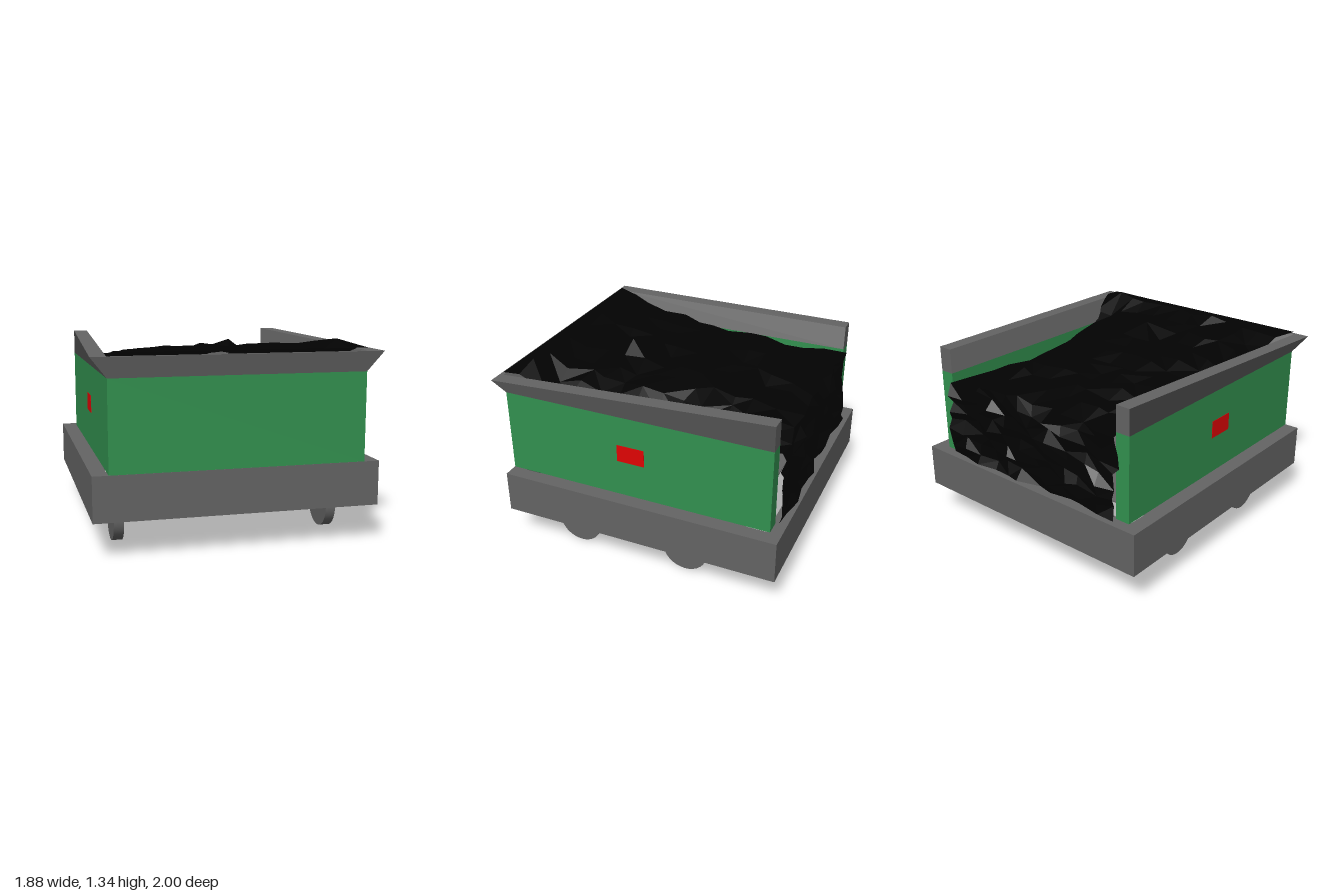
import * as THREE from 'three';

const material = (name, color, extra = {}) => {
  const m = new THREE.MeshStandardMaterial({ color, ...extra });
  m.name = name;
  return m;
};

// Small seeded generator, returns -1..1
function seeded(seed) {
  let s = seed;
  return () => {
    s = (s * 16807) % 2147483647;
    return (s / 2147483647) * 2 - 1;
  };
}

// Piecewise linear lookup through [key, value] pairs with falling keys
function lookup(pairs, key) {
  for (let i = 1; i < pairs.length; i++) {
    const [k0, v0] = pairs[i - 1], [k1, v1] = pairs[i];
    if (key >= k1) return v0 + (v1 - v0) * Math.min(1, Math.max(0, (k0 - key) / (k0 - k1)));
  }
  return pairs[pairs.length - 1][1];
}

// Extrude a plan (x, z) upwards from y0 to y1
function upright(points, y0, y1, hole) {
  const toShape = (pts) => pts.map(([x, z]) => new THREE.Vector2(x, -z));
  const shape = new THREE.Shape(toShape(points));
  if (hole) shape.holes.push(new THREE.Path(toShape(hole)));
  const g = new THREE.ExtrudeGeometry(shape, { depth: y1 - y0, bevelEnabled: false });
  g.rotateX(-Math.PI / 2);
  g.translate(0, y0, 0);
  return g;
}

const rect = (x, zBack, zFront) => [[-x, zFront], [x, zFront], [x, zBack], [-x, zBack]];

// Three-sided wall plan, open at the back
const wallPlan = [
  [-0.837, 0.97], [0.837, 0.97], [0.837, -0.922], [0.735, -0.922],
  [0.735, 0.87], [-0.735, 0.87], [-0.735, -0.922], [-0.837, -0.922],
];

// Flared rim: the front leans outwards, the back stays upright but higher
function rimGeometry() {
  const g = upright(wallPlan, 1.133, 1.3);
  const p = g.attributes.position, n = g.attributes.normal;
  for (let i = 0; i < p.count; i++) {
    if (p.getY(i) < 1.2) continue;
    const x = p.getX(i), z = p.getZ(i);
    if (z > 0) {
      p.setXYZ(i, x + Math.sign(x) * 0.104, 1.265, z > 0.9 ? 1.0 : 0.97);
    } else {
      p.setY(i, 1.308);
    }
  }
  g.computeVertexNormals();
  // One shared normal for each twisted side panel
  const a = new THREE.Vector3(), b = new THREE.Vector3();
  for (let i = g.groups[1].start; i < p.count; i += 6) {
    a.fromBufferAttribute(n, i).add(b.fromBufferAttribute(n, i + 3)).normalize();
    for (let k = 0; k < 6; k++) n.setXYZ(i + k, a.x, a.y, a.z);
  }
  return g;
}

// Coal sheet: rough top sunk along the sides, then a rough back face down to the floor
function coalGeometry() {
  const rand = seeded(4217);
  const height = [[0.97, 1.285], [0.65, 1.25], [0.45, 1.23], [0.1, 1.22],
    [-0.3, 1.2], [-0.7, 1.17], [-0.92, 1.13]];
  const frontRidge = [[0.84, 1.29], [0.68, 1.338], [0.34, 1.3], [0.12, 1.335], [0, 1.285],
    [-0.17, 1.34], [-0.35, 1.285], [-0.84, 1.27]];
  const sink = [[0.97, 0], [0.75, 0.05], [0.5, 0.11], [0.2, 0.18], [-0.2, 0.19], [-0.92, 0.08]];
  const leftEdge = [[0.97, 0.84], [0.72, 0.83], [0.5, 0.735], [-0.92, 0.735]];
  const rightEdge = [[0.97, -0.84], [0.8, -0.77], [0.45, -0.77], [0.3, -0.735], [0, -0.73],
    [-0.25, -0.665], [-0.64, -0.665], [-0.92, -0.74]];
  const cols = 11, topRows = 13, backRows = 8;
  const positions = [], index = [];
  for (let r = 0; r <= topRows + backRows; r++) {
    const onTop = r <= topRows;
    const z = onTop ? 0.97 - 1.89 * (r / topRows) : -0.92;
    const down = onTop ? 0 : (r - topRows) / backRows;
    const l = lookup(leftEdge, z), e = lookup(rightEdge, z);
    for (let c = 0; c <= cols; c++) {
      const edge = c === 0 || c === cols;
      const a = rand(), b = rand(), d = rand();
      let x = e + (l - e) * (c / cols) + (edge ? 0 : a * 0.035);
      let y, zz;
      if (onTop) {
        const side = Math.max(0, (Math.abs(x) - 0.2) / 0.53) ** 2;
        const sunk = lookup(sink, z) * Math.min(1, side) * (x > 0 ? 1 : 0.4);
        y = lookup(height, z) - sunk + (r === 0 ? 0 : b * 0.022);
        if (r === 1) y = lookup(frontRidge, x);
        if (r === 4 && c === 6) y = 1.315;
        zz = r === 0 ? z : z + d * 0.03;
        if (r === topRows) zz = -0.94 + d * 0.03;
      } else {
        const top = 1.13 - 0.08 * (x > 0.5 ? 1 : 0);
        y = top + (0.55 - top) * down + (down === 1 ? 0 : b * 0.02);
        zz = -0.955 + d * 0.032;
        if (edge) x += a * 0.02;
      }
      positions.push(x, y, zz);
    }
  }
  const w = cols + 1;
  for (let r = 0; r < topRows + backRows; r++) {
    for (let c = 0; c < cols; c++) {
      const i = r * w + c;
      if (rand() > 0) index.push(i, i + 1, i + w, i + 1, i + w + 1, i + w);
      else index.push(i, i + 1, i + w + 1, i, i + w + 1, i + w);
    }
  }
  let g = new THREE.BufferGeometry();
  g.setAttribute('position', new THREE.Float32BufferAttribute(positions, 3));
  // Reversed winding so the faces look up and back
  g.setIndex(index.reverse());
  g = g.toNonIndexed();
  g.computeVertexNormals();
  return g;
}

export function createModel() {
  const grey = material('dark grey', 0x646464);
  const green = material('green', 0x32914f);
  const red = material('red', 0xe00404);
  const black = material('coal black', 0x020202, { side: THREE.DoubleSide, flatShading: true });

  const model = new THREE.Group();
  model.name = 'coalWagon';
  const add = (name, geometry, mat, x = 0, y = 0, z = 0) => {
    const mesh = new THREE.Mesh(geometry, mat);
    mesh.name = name;
    mesh.position.set(x, y, z);
    model.add(mesh);
  };

  // Open chassis frame with a short floor plate
  add('chassisFrame', upright(rect(0.94, -1, 0.972), 0.247, 0.543, rect(0.84, -0.9, 0.87)), grey);
  add('floor', new THREE.BoxGeometry(1.68, 0.01, 1.52), grey, 0, 0.538, 0);

  // Walls and flared rim
  add('bodyWalls', upright(wallPlan, 0.543, 1.133), green);
  add('flaredRim', rimGeometry(), grey);

  // Coal load
  add('coal', coalGeometry(), black);

  // Wheels and side plates, mirrored
  const wheel = new THREE.CylinderGeometry(0.162, 0.162, 0.068, 32).rotateZ(Math.PI / 2);
  const plate = new THREE.BoxGeometry(0.004, 0.122, 0.196);
  for (const [side, s] of [['left', 1], ['right', -1]]) {
    add(`${side}FrontWheel`, wheel, grey, s * 0.735, 0.162, 0.51);
    add(`${side}BackWheel`, wheel, grey, s * 0.735, 0.162, -0.305);
    add(`${side}SidePlate`, plate, red, s * 0.8375, 0.862, 0.048);
  }
  return model;
}
